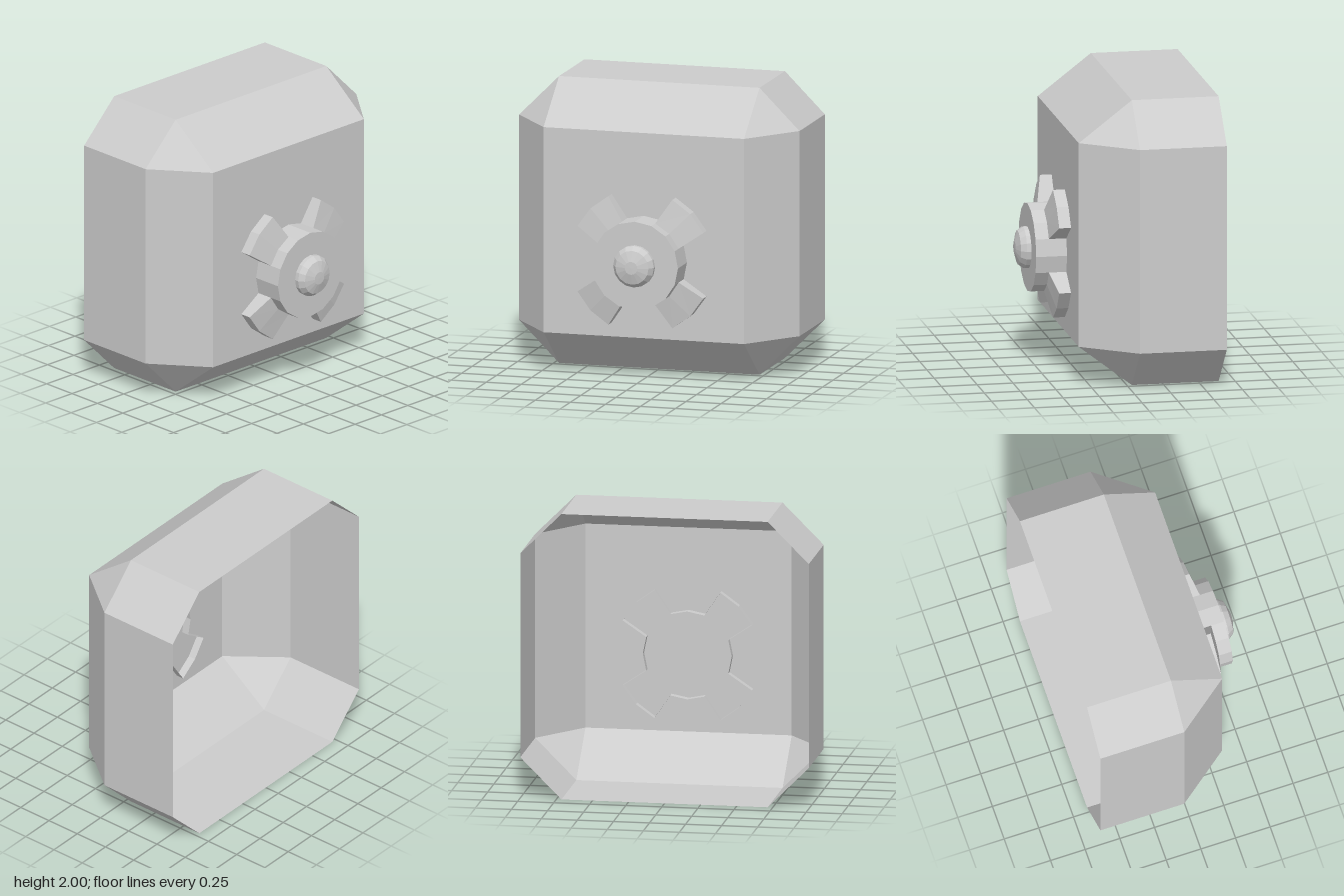
import * as THREE from 'three';

const grey = new THREE.MeshStandardMaterial({ color: 0xcccccc, flatShading: true, side: THREE.DoubleSide });
grey.name = 'grey';

// Skin equal-length rings of [x, y, z], running counter-clockwise from back to front; close the last ring.
function loft(rings) {
  const pos = [];
  const tri = (a, b, c) => {
    const [A, B, C] = [a, b, c].map((p) => new THREE.Vector3(...p));
    if (B.sub(A).cross(C.sub(A)).length() > 1e-7) pos.push(...a, ...b, ...c);
  };
  const n = rings[0].length;
  for (let r = 0; r + 1 < rings.length; r++) {
    for (let i = 0; i < n; i++) {
      const j = (i + 1) % n;
      const [a, b, c, d] = [rings[r][i], rings[r][j], rings[r + 1][j], rings[r + 1][i]];
      tri(a, b, c);
      tri(a, c, d);
    }
  }
  const last = rings[rings.length - 1];
  const centre = [0, 1, 2].map((k) => last.reduce((s, p) => s + p[k], 0) / n);
  for (let i = 0; i < n; i++) tri(last[i], last[(i + 1) % n], centre);
  const geo = new THREE.BufferGeometry();
  geo.setAttribute('position', new THREE.Float32BufferAttribute(pos, 3));
  geo.computeVertexNormals();
  return geo;
}

export function createModel() {
  const model = new THREE.Group();
  const add = (name, geo) => {
    const mesh = new THREE.Mesh(geo, grey);
    mesh.name = name;
    model.add(mesh);
    return mesh;
  };

  // Hollow casing, open at the back: an octagon narrowing to a square front panel
  const c = 0.715;
  const octagon = (w, z) => [
    [w, -c], [w, c], [c, w], [-c, w], [-w, c], [-w, -c], [-c, -w], [c, -w],
  ].map(([x, y]) => [x, y + 1, z]);
  add('casing', loft([octagon(1, -0.64), octagon(1, -0.035), octagon(c, 0.335)]));

  // Handwheel: sixteen-sided hub with four flared spokes, its rim passing through the panel
  const hubR = 0.308, spokeR = 0.503, centreY = 0.83;
  const hubAngles = [0, 22.5, 22.5, 45, 67.5, 67.5];
  const rimAngles = [0, 22.5, 27, 45, 63, 67.5];
  const isSpoke = (i) => i >= 2 && i <= 4;
  const wheelRing = (angles, radius, z) => {
    const ring = [];
    for (let q = 0; q < 4; q++) {
      angles.forEach((deg, i) => {
        const a = THREE.MathUtils.degToRad(deg + q * 90);
        ring.push([radius(i) * Math.cos(a), centreY + radius(i) * Math.sin(a), z(i)]);
      });
    }
    return ring;
  };
  const rim = (i) => (isSpoke(i) ? spokeR : hubR);
  add('handwheel', loft([
    wheelRing(rimAngles, rim, () => 0.28),
    wheelRing(rimAngles, rim, (i) => (isSpoke(i) ? 0.417 : 0.457)),
    wheelRing(hubAngles, () => hubR, () => 0.457),
    wheelRing(hubAngles, () => hubR, () => 0.55),
  ]));

  // Rounded centre knob
  const profile = [[0.145, 0.545], [0.145, 0.58], [0.118, 0.618], [0.045, 0.64], [0, 0.641]];
  const knob = add('knob', new THREE.LatheGeometry(profile.map(([r, z]) => new THREE.Vector2(r, z)), 16));
  knob.rotation.x = Math.PI / 2;
  knob.position.y = centreY;

  return model;
}
